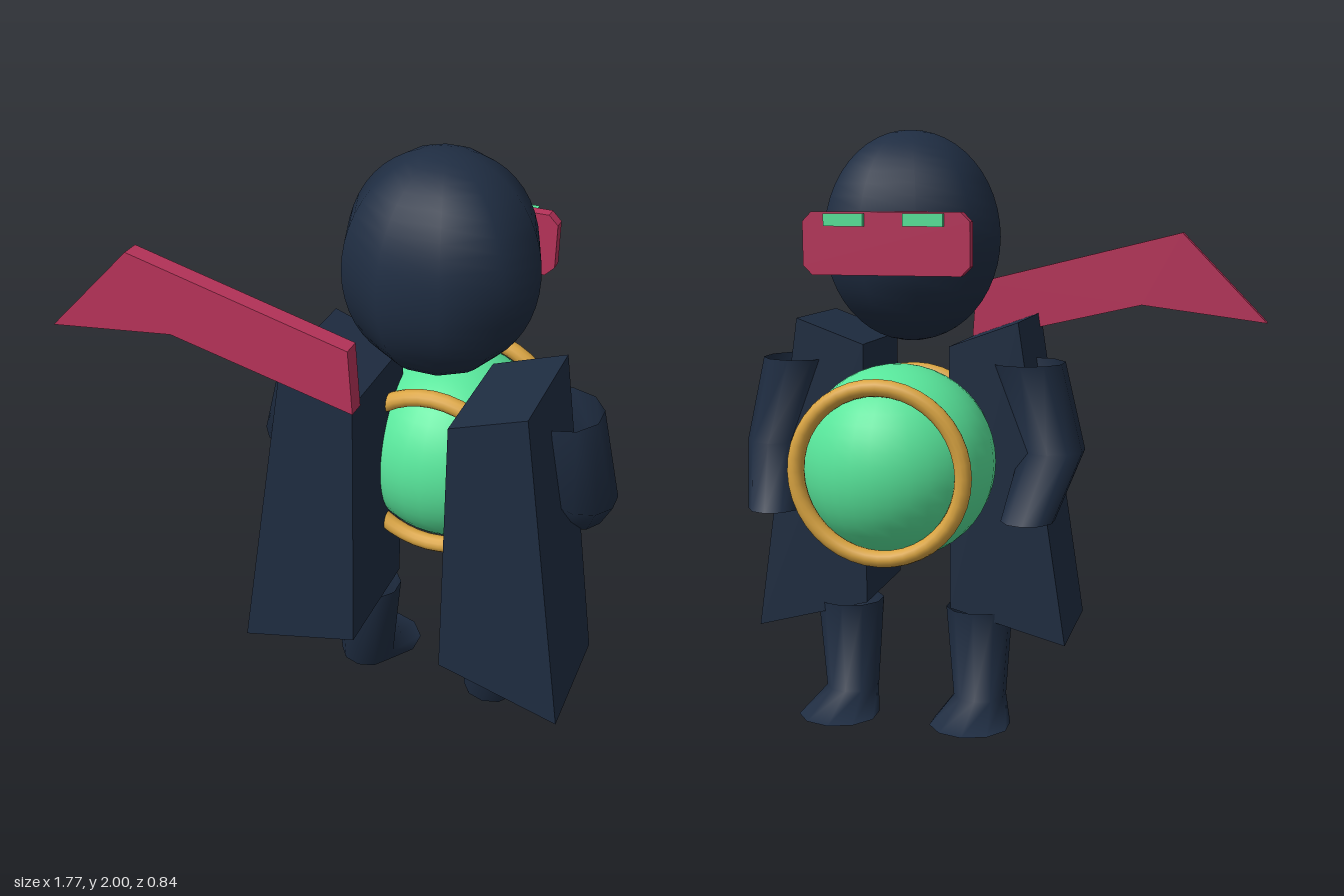
import * as THREE from 'three';
import { mergeVertices } from 'three/addons/utils/BufferGeometryUtils.js';

const AXIS = 0.29; // the figure's own centre line in x
const mat = (color) => new THREE.MeshStandardMaterial({ color });
const navy = mat(0x1f2d42);
const navyOpen = mat(0x1f2d42);
navyOpen.side = THREE.DoubleSide;
const red = mat(0xb8335a);
const green = mat(0x58e69b);
const gold = mat(0xd9a441);

// Flat slab from an outline in x and y, between two z values
function slab(points, z0, z1) {
  const shape = new THREE.Shape(points.map(([x, y]) => new THREE.Vector2(x, y)));
  const geo = new THREE.ExtrudeGeometry(shape, { depth: z1 - z0, bevelEnabled: false });
  return geo.translate(0, 0, z0);
}

// Open tube through horizontal rings [x, y, z, radiusX, radiusZ], top to bottom
function limb(rings, sides = 10) {
  const geo = new THREE.CylinderGeometry(1, 1, 1, sides, rings.length - 1, true);
  const p = geo.attributes.position;
  for (let i = 0; i < p.count; i++) {
    const [x, y, z, rx, rz] = rings[Math.floor(i / (sides + 1))];
    p.setXYZ(i, x + p.getX(i) * rx, y, z + p.getZ(i) * rz);
  }
  geo.deleteAttribute('uv');
  geo.deleteAttribute('normal');
  const merged = mergeVertices(geo);
  merged.computeVertexNormals();
  return merged;
}

export function createModel() {
  const model = new THREE.Group();
  const add = (name, geo, material, x = 0, y = 0, z = 0) => {
    const mesh = new THREE.Mesh(geo, material);
    mesh.name = name;
    mesh.position.set(x, y, z);
    model.add(mesh);
    return mesh;
  };

  // Head with few sides around and many rows
  const head = new THREE.SphereGeometry(1, 10, 24);
  head.scale(0.307, 0.35, 0.295);
  add('head', head, navy, AXIS, 1.65, 0.09);

  // Round body with a ring on each face
  add('body', new THREE.SphereGeometry(0.325, 32, 24), green, AXIS, 0.915, -0.1);
  for (const [name, z] of [['faceRing', -0.323], ['rearRing', 0.123]]) {
    add(name, new THREE.TorusGeometry(0.277, 0.028, 12, 40), gold, AXIS, 0.915, z);
  }

  // Mask with cut corners, and the eyes in front of it
  const w = 0.275, h = 0.1, c = 0.03;
  const maskOutline = [
    [-w + c, -h], [w - c, -h], [w, -h + c], [w, h - c],
    [w - c, h], [-w + c, h], [-w, h - c], [-w, -h + c],
  ];
  add('mask', slab(maskOutline, -0.02, 0.02), red, AXIS, 1.635, -0.196);
  for (const s of [-1, 1]) {
    add('eye', new THREE.BoxGeometry(0.13, 0.04, 0.02), green, AXIS + s * 0.13, 1.71, -0.235);
  }

  // Scarf streaming out to the side
  add('scarf', slab([[-0.89, 1.355], [-0.46, 1.41], [0.145, 1.27], [0.13, 1.48], [-0.595, 1.66]], 0.36, 0.42), red);

  // Cloak halves, arms and legs on both sides; s mirrors about the centre line
  for (const s of [-1, 1]) {
    const side = s > 0 ? 'left' : 'right';
    const cloak = [[0.15, 1.29], [0.15, 0.385], [0.55, 0.277], [0.385, 1.375]];
    add(side + 'Cloak', slab(cloak.map(([x, y]) => [AXIS + s * x, y]), 0, 0.41), navy);

    const mirrored = (rings) => rings.map(([x, ...rest]) => [AXIS + s * x, ...rest]);
    add(side + 'Arm', limb(mirrored([
      [0.4, 1.235, 0.085, 0.13, 0.135],
      [0.49, 0.94, 0.083, 0.11, 0.113],
      [0.44, 0.735, -0.1, 0.09, 0.1],
    ])), navyOpen);
    add(side + 'Leg', limb(mirrored([
      [0.235, 0.375, 0.083, 0.117, 0.108],
      [0.235, 0.05, 0.085, 0.093, 0.09],
      [0.235, 0, -0.07, 0.14, 0.13],
    ])), navyOpen);
  }
  return model;
}
